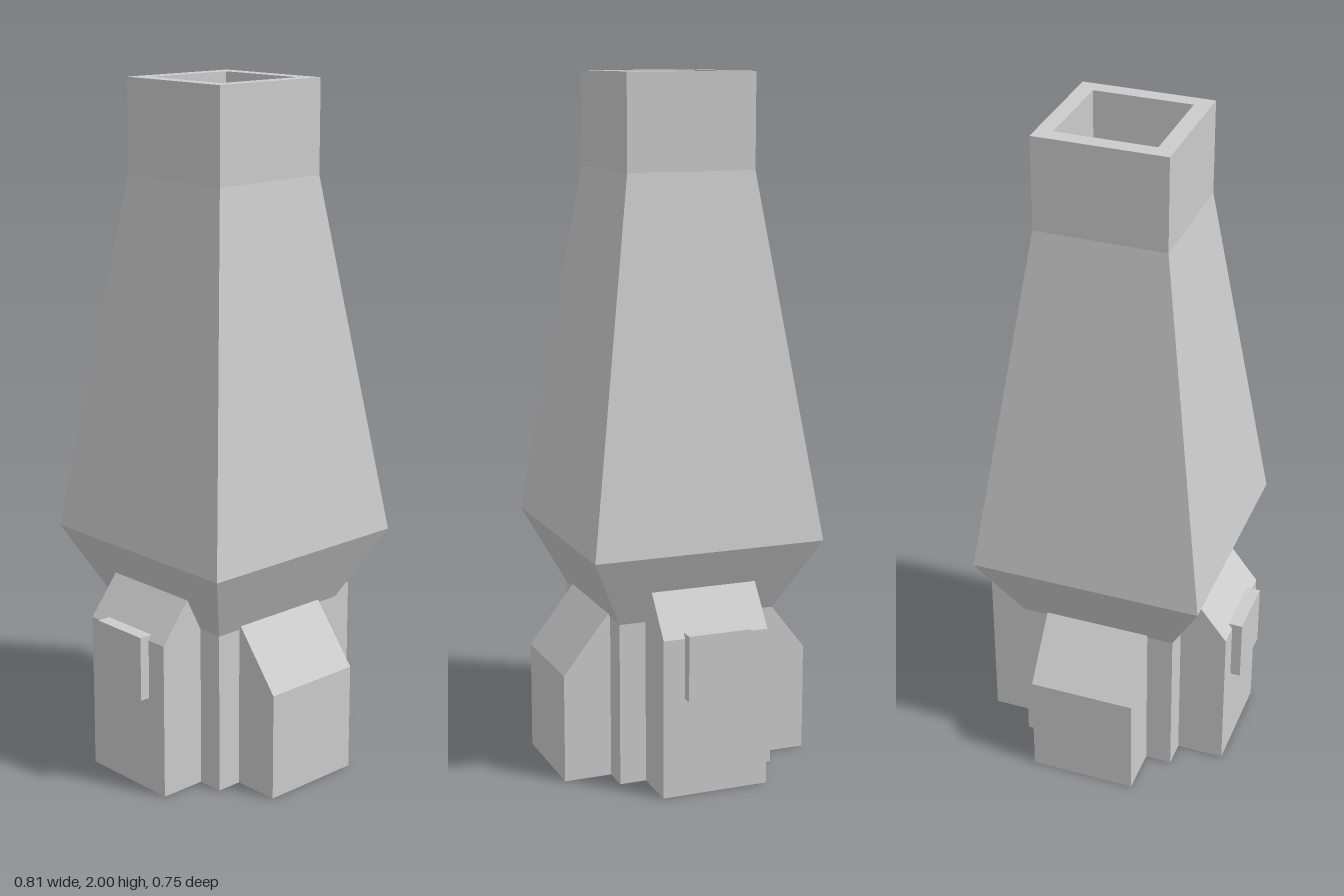
import * as THREE from 'three';

const material = new THREE.MeshStandardMaterial({ color: 0xcccccc, flatShading: true });

function addMesh(parent, name, geometry) {
  const mesh = new THREE.Mesh(geometry, material);
  mesh.name = name;
  parent.add(mesh);
  return mesh;
}

// Square-sectioned solid from [half width, height] pairs
function squareLathe(profile) {
  const points = profile.map(([half, y]) => new THREE.Vector2(half * Math.SQRT2, y));
  return new THREE.LatheGeometry(points, 4, Math.PI / 4);
}

// Buttress with a sloping top, pointing along +x and centred on z
function buttressGeometry(shoulderY, topX, topY) {
  const inner = 0.23, outer = 0.375, width = 0.314;
  const shape = new THREE.Shape([
    [inner, 0], [outer, 0], [outer, shoulderY], [topX, topY], [inner, topY],
  ].map(([x, y]) => new THREE.Vector2(x, y)));
  return new THREE.ExtrudeGeometry(shape, { depth: width, bevelEnabled: false })
    .translate(0, 0, -width / 2);
}

export function createModel() {
  const model = new THREE.Group();
  model.name = 'chimney';

  // Plinth, flared collar, tapering stack and neck with a recessed opening
  addMesh(model, 'stack', squareLathe([
    [0, 0], [0.235, 0], [0.235, 0.475], [0.343, 0.69], [0.19, 1.73],
    [0.19, 2], [0.143, 2], [0.143, 1.85], [0, 1.85],
  ]));

  // Taller side buttresses, each with a raised panel
  const sideGeometry = buttressGeometry(0.46, 0.285, 0.575);
  const panelGeometry = new THREE.BoxGeometry(0.04, 0.19, 0.186).translate(0.385, 0.38, 0);
  for (const [side, turn] of [['left', 0], ['right', Math.PI]]) {
    const group = new THREE.Group();
    group.name = side + 'Side';
    group.rotation.y = turn;
    addMesh(group, side + 'Buttress', sideGeometry);
    addMesh(group, side + 'Panel', panelGeometry);
    model.add(group);
  }

  // Lower front and back buttresses
  const endGeometry = buttressGeometry(0.315, 0.238, 0.49);
  addMesh(model, 'frontButtress', endGeometry).rotation.y = -Math.PI / 2;
  addMesh(model, 'backButtress', endGeometry).rotation.y = Math.PI / 2;

  return model;
}
